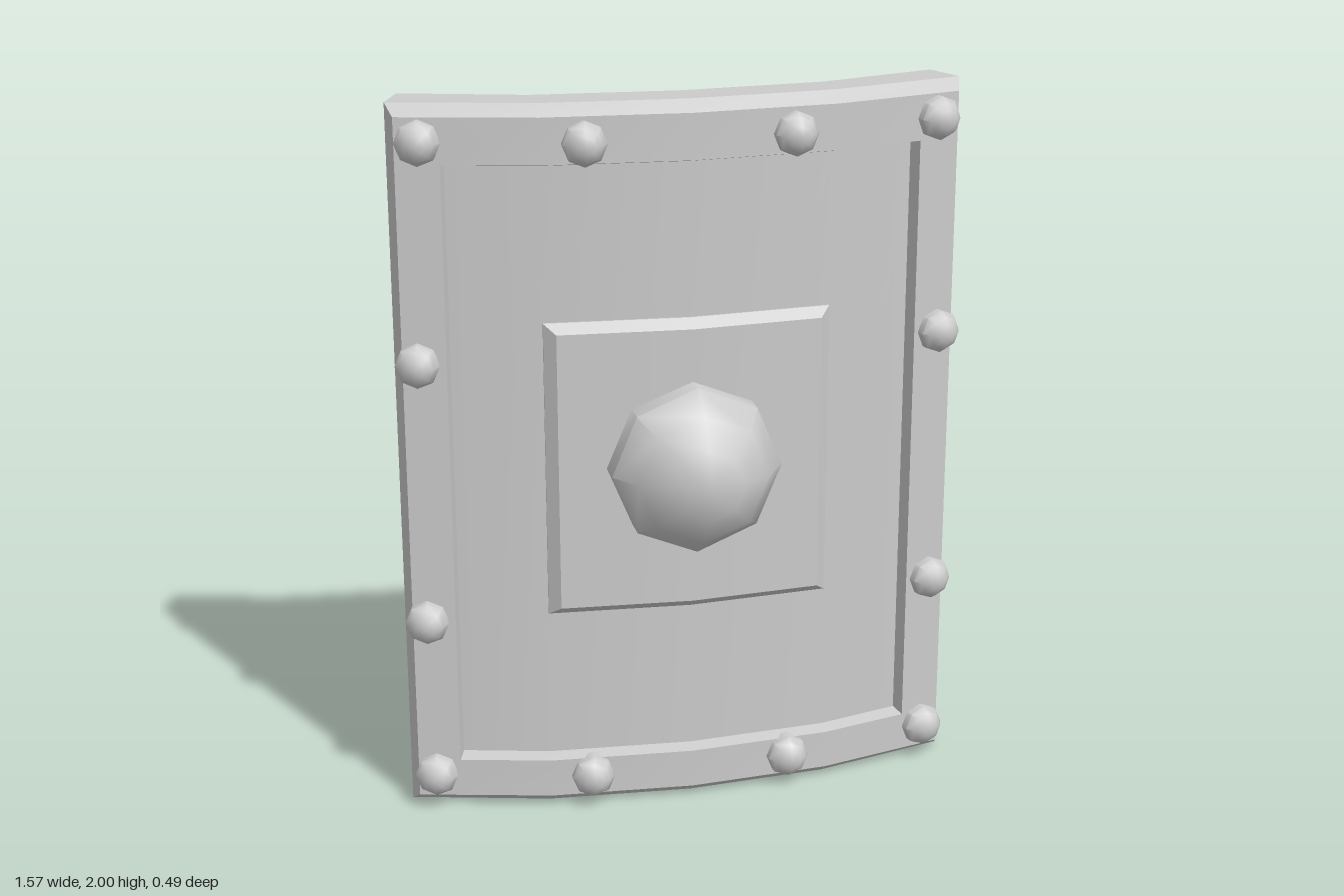
import * as THREE from 'three';
import { toCreasedNormals } from 'three/addons/utils/BufferGeometryUtils.js';

const material = new THREE.MeshStandardMaterial({ color: 0xcccccc });

// Bend a flat point (u across, y up, d depth) onto the curved shield
function bend(u, y, d) {
  const a = Math.abs(u);
  const outer = Math.max(0, (a - 0.4) / 0.38);
  const z = -0.01 - 0.075 * Math.min(a, 0.4) - 0.1 * outer;
  return [u + Math.sign(u) * 0.41 * outer * d, y, z + d];
}

// Loft rectangular rings [halfWidth, bottom, top, depth] from back to front, capping both ends
function bentLoft(rings) {
  const positions = [], index = [];
  for (const [h, y0, y1, d] of rings) {
    const m = h > 0.4 ? 0.4 : h / 2;
    const stations = [-h, -m, 0, m, h];
    for (const u of stations) positions.push(...bend(u, y0, d));
    for (const u of stations.reverse()) positions.push(...bend(u, y1, d));
  }
  const quad = (a, b, c, d) => index.push(a, b, c, a, c, d);
  for (let i = 0; i < rings.length - 1; i++) {
    for (let j = 0; j < 10; j++) {
      const k = (j + 1) % 10, p = i * 10, q = p + 10;
      quad(p + j, p + k, q + k, q + j);
    }
  }
  const last = (rings.length - 1) * 10;
  for (let k = 0; k < 4; k++) {
    quad(last + k, last + k + 1, last + 8 - k, last + 9 - k);
    quad(9 - k, 8 - k, k + 1, k);
  }
  const geometry = new THREE.BufferGeometry();
  geometry.setAttribute('position', new THREE.Float32BufferAttribute(positions, 3));
  geometry.setIndex(index);
  return toCreasedNormals(geometry, 0.5);
}

// Eight-sided dome pointing to +z
function dome(profile) {
  const points = profile.map(([r, h]) => new THREE.Vector2(r, h));
  return toCreasedNormals(new THREE.LatheGeometry(points, 8).rotateX(Math.PI / 2), 0.85);
}

export function createModel() {
  const group = new THREE.Group();
  const add = (name, geometry) => {
    const mesh = new THREE.Mesh(geometry, material);
    mesh.name = name;
    group.add(mesh);
    return mesh;
  };

  // Curved body: recessed back, chamfered rim, recessed front panel
  add('shieldBody', bentLoft([
    [0.645, 0.15, 1.835, -0.08],
    [0.655, 0.14, 1.845, -0.11],
    [0.78, 0, 2, -0.11],
    [0.78, 0, 2, 0],
    [0.75, 0.03, 1.97, 0.04],
    [0.64, 0.14, 1.845, 0.04],
    [0.635, 0.15, 1.835, 0],
  ]));

  // Raised central plate
  add('centerPlate', bentLoft([
    [0.395, 0.575, 1.41, -0.02],
    [0.395, 0.575, 1.41, 0.005],
    [0.365, 0.6, 1.385, 0.035],
  ]));

  // Central boss
  add('boss', dome([[0.235, 0], [0.235, 0.08], [0.18, 0.16], [0.1, 0.215], [0, 0.235]]))
    .position.set(0, 1.003, 0);

  // Rivets around the rim, tilted with the curve
  const rivet = dome([[0.06, -0.02], [0.06, 0.02], [0.046, 0.042], [0.026, 0.055], [0, 0.06]]);
  const spots = [
    [-0.705, 1.905], [-0.285, 1.9], [0.28, 1.9], [0.7, 1.905],
    [-0.725, 1.305], [0.72, 1.305], [-0.725, 0.565], [0.72, 0.565],
    [-0.715, 0.1], [-0.285, 0.09], [0.28, 0.09], [0.71, 0.1],
  ];
  for (const [x, y] of spots) {
    const a = Math.abs(x), side = a > 0.4;
    const mesh = add('rivet', rivet);
    mesh.position.set(x, y, 0.03 - 0.075 * Math.min(a, 0.4) - 0.25 * Math.max(0, a - 0.4));
    mesh.rotation.y = Math.sign(x) * (side ? 0.28 : 0.075);
  }
  return group;
}
